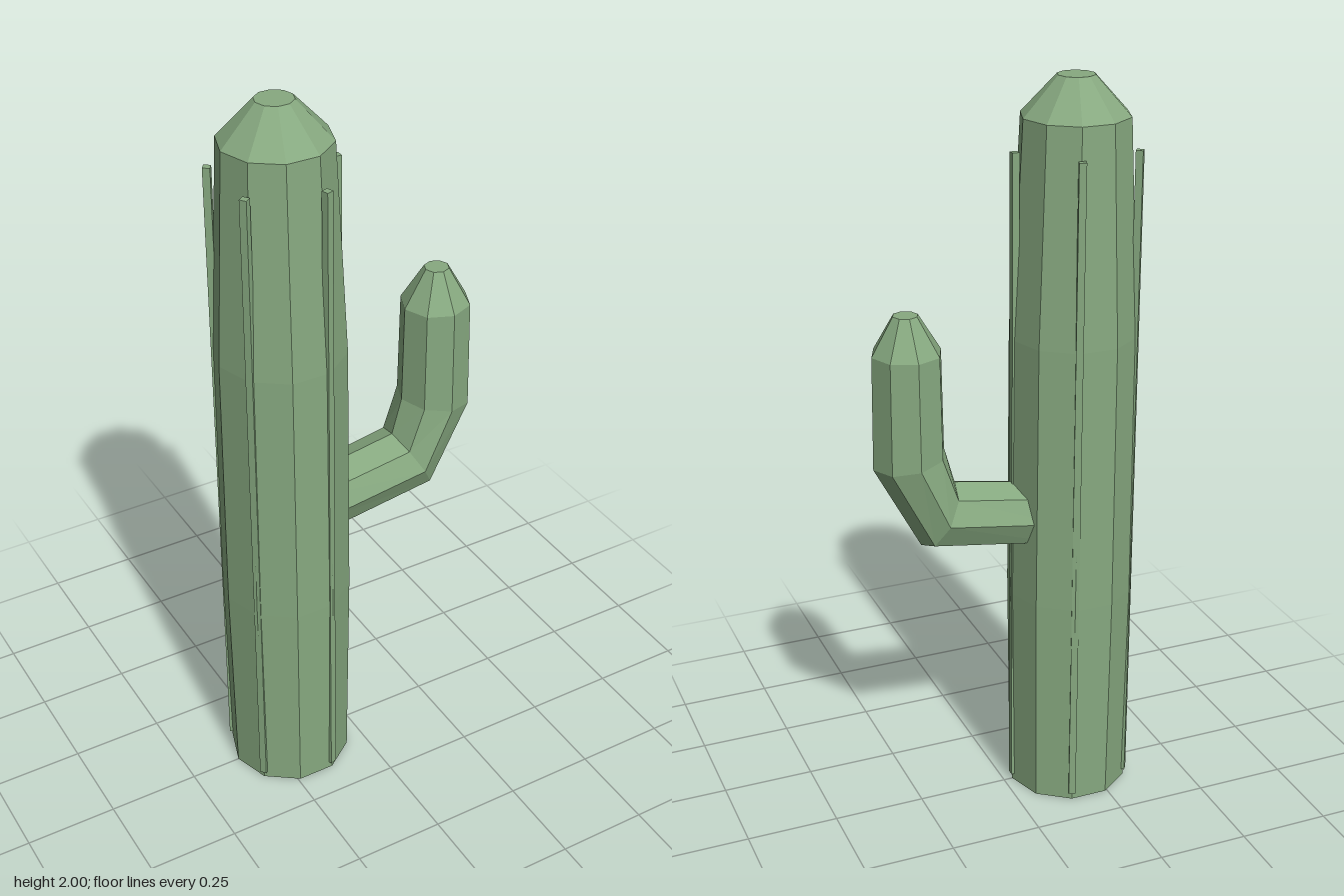
import * as THREE from 'three';

const TRUNK_X = -0.192;

// Closed tube through rings [x, y, radius, axis angle in degrees] lying in the xy plane
function loft(rings, sides) {
  const pos = [], idx = [];
  for (const [x, y, r, deg] of rings) {
    const a = THREE.MathUtils.degToRad(deg);
    for (let j = 0; j < sides; j++) {
      const t = (j / sides) * Math.PI * 2;
      const u = r * Math.cos(t);
      pos.push(x + u * Math.sin(a), y - u * Math.cos(a), r * Math.sin(t));
    }
  }
  for (let i = 0; i < rings.length - 1; i++) {
    for (let j = 0; j < sides; j++) {
      const a = i * sides + j, b = i * sides + ((j + 1) % sides);
      idx.push(a, a + sides, b, b, a + sides, b + sides);
    }
  }
  const g = new THREE.BufferGeometry();
  g.setAttribute('position', new THREE.Float32BufferAttribute(pos, 3));
  g.setIndex(idx);
  g.computeVertexNormals();
  return g;
}

export function createModel() {
  const model = new THREE.Group();
  model.name = 'cactus';
  const green = new THREE.MeshStandardMaterial({ color: 0x87a980, flatShading: true });
  green.name = 'cactusGreen';

  const add = (name, geometry, parent = model) => {
    const mesh = new THREE.Mesh(geometry, green);
    mesh.name = name;
    parent.add(mesh);
    return mesh;
  };

  // Ten-sided trunk with a slight belly and a blunt cap
  const profile = [[0, 0], [0.167, 0], [0.174, 0.6], [0.17, 1.33], [0.142, 1.9], [0.049, 2], [0, 2]];
  const trunk = add('trunk', new THREE.LatheGeometry(
    profile.map(([r, y]) => new THREE.Vector2(r, y)), 10).rotateY(Math.PI / 2));
  trunk.position.x = TRUNK_X;

  // Five thin upright ribs on every other trunk corner
  const ribs = new THREE.Group();
  ribs.name = 'ribs';
  ribs.position.x = TRUNK_X;
  model.add(ribs);
  for (let i = 0; i < 5; i++) {
    const a = (i / 5) * Math.PI * 2;
    const rib = add('rib', new THREE.BoxGeometry(0.019, 1.8, 0.019), ribs);
    rib.position.set(0.1635 * Math.cos(a), 0.92, 0.1635 * Math.sin(a));
    rib.rotation.y = -a;
  }

  // Eight-sided arm bending upward, with a tapered tip
  add('arm', loft([
    [-0.13, 0.825, 0, 9],
    [-0.13, 0.825, 0.089, 9],
    [0.188, 0.876, 0.096, 30],
    [0.265, 1.045, 0.098, 81],
    [0.265, 1.335, 0.0925, 90],
    [0.266, 1.435, 0.033, 90],
    [0.266, 1.435, 0, 90],
  ], 8));

  return model;
}
